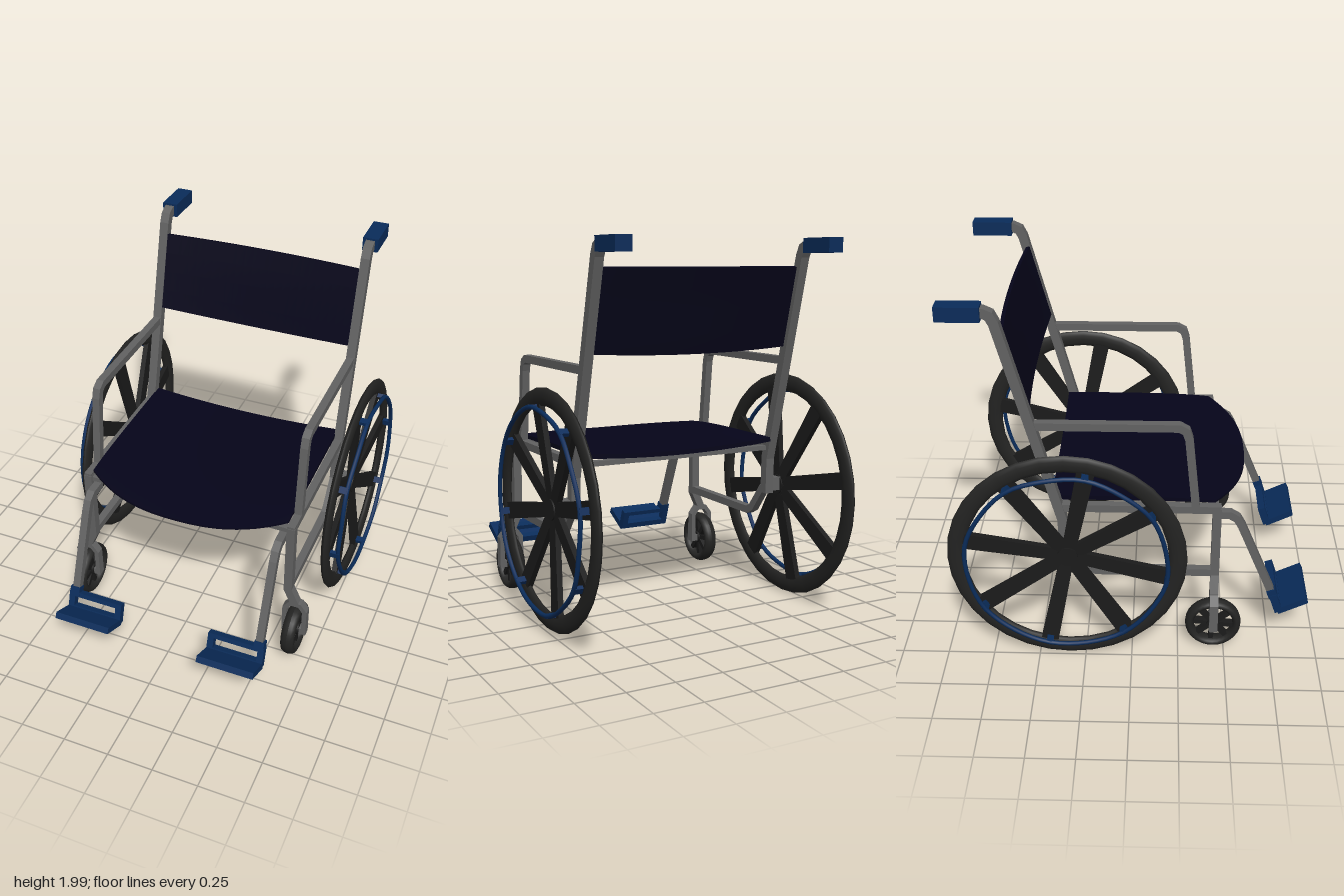
import * as THREE from 'three';

const mat = (name, color) => {
  const m = new THREE.MeshStandardMaterial({ color });
  m.name = name;
  return m;
};

// Square bar swept along a flat path with mitred corners; n is the normal of the path's plane
function bar(points, n, w, depth = w) {
  const P = points.map((p) => new THREE.Vector3(...p));
  const N = new THREE.Vector3(...n);
  const pos = [], index = [];
  P.forEach((p, i) => {
    const a = P[Math.max(i - 1, 0)], b = P[Math.min(i + 1, P.length - 1)];
    const d1 = p.clone().sub(a).normalize(), d2 = b.clone().sub(p).normalize();
    const t = d1.clone().add(d2).normalize();
    const cosHalf = t.dot(i ? d1 : d2);
    const m = t.cross(N).multiplyScalar(w / 2 / cosHalf);
    for (const [s, r] of [[1, 1], [-1, 1], [-1, -1], [1, -1]]) {
      pos.push(...p.clone().addScaledVector(N, (s * depth) / 2).addScaledVector(m, r).toArray());
    }
  });
  for (let k = 0; k < P.length - 1; k++) {
    for (let i = 0; i < 4; i++) {
      const a = k * 4 + i, b = k * 4 + (i + 1) % 4;
      index.push(a, b, b + 4, a, b + 4, a + 4);
    }
  }
  const e = (P.length - 1) * 4;
  index.push(0, 2, 1, 0, 3, 2, e, e + 1, e + 2, e, e + 2, e + 3);
  const g = new THREE.BufferGeometry();
  g.setAttribute('position', new THREE.Float32BufferAttribute(pos, 3));
  g.setIndex(index);
  const flat = g.toNonIndexed();
  flat.computeVertexNormals();
  return flat;
}

const box = (w, h, d, x, y, z) => new THREE.BoxGeometry(w, h, d).translate(x, y, z);

// Move every vertex by a rule
function warp(g, rule) {
  const p = g.attributes.position;
  for (let i = 0; i < p.count; i++) p.setXYZ(i, ...rule(p.getX(i), p.getY(i), p.getZ(i)));
  g.computeVertexNormals();
  return g;
}

// Copy a geometry to the other side, swapping two corners of each face to keep it outward
function mirrored(g) {
  const m = (g.index ? g.toNonIndexed() : g.clone()).scale(-1, 1, 1);
  for (const { array, itemSize: s, count } of Object.values(m.attributes)) {
    for (let i = 0; i < count; i += 3) {
      for (let c = 0; c < s; c++) {
        const b = (i + 1) * s + c, d = b + s;
        [array[b], array[d]] = [array[d], array[b]];
      }
    }
  }
  return m;
}

// Tyre of oval section around the x axis
function tyre(outer, inner, width, segments) {
  const mid = (outer + inner) / 2, half = (outer - inner) / 2, pts = [];
  for (let i = 0; i <= 12; i++) {
    const a = (i / 12) * Math.PI * 2;
    pts.push(new THREE.Vector2(mid + half * Math.cos(a), (width / 2) * Math.sin(a)));
  }
  return new THREE.LatheGeometry(pts, segments).rotateZ(Math.PI / 2);
}

export function createModel() {
  const model = new THREE.Group();
  model.name = 'wheelchair';
  const steel = mat('greySteel', 0x626262);
  const rubber = mat('blackRubber', 0x232322);
  const spokeBlack = mat('blackSpokes', 0x1b1b1b);
  const blue = mat('bluePlastic', 0x0a2c5a);
  const cloth = mat('navyCloth', 0x050419);

  const add = (name, g, m) => {
    const mesh = new THREE.Mesh(g, m);
    mesh.name = name;
    model.add(mesh);
  };
  const pair = (name, g, m) => {
    add(name + 'Left', g, m);
    add(name + 'Right', mirrored(g), m);
  };

  // Frame bars, given as [z, y] points at a fixed x
  const X = 0.592, W = 0.046;
  const side = (name, x, pts, w = W) =>
    pair(name, bar(pts.map(([z, y]) => [x, y, z]), [1, 0, 0], w), steel);
  side('backPost', X, [[-0.36, 0.6], [-0.365, 0.8], [-0.652, 1.91], [-0.672, 1.95], [-0.705, 1.965], [-0.76, 1.965]], 0.05);
  side('armrest', X, [[0.33, 0.87], [0.285, 1.29], [0.27, 1.335], [0.235, 1.355], [-0.5, 1.355]], 0.042);
  side('seatRail', X, [[0.46, 0.872], [-0.38, 0.872]], 0.042);
  side('lowerRail', X, [[0.44, 0.47], [-0.19, 0.47], [-0.23, 0.49], [-0.34, 0.63]], 0.042);
  side('footrestHanger', 0.545, [[0.42, 0.81], [0.51, 0.81], [0.55, 0.785], [0.575, 0.74], [0.762, 0.29]], 0.042);
  pair('axle', box(0.1, 0.075, 0.065, 0.64, 0.645, -0.337), steel);
  for (const [name, z] of [['frontCrossbar', 0.43], ['rearCrossbar', -0.36]]) {
    add(name, box(1.16, 0.026, 0.042, 0, 0.859, z), steel);
  }

  // Front posts bending out to the castor forks
  const Z = [0, 0, 1], zc = 0.44, xc = 0.637, yc = 0.16;
  pair('frontPost', bar([[X, 0.88, zc], [X, 0.45, zc], [xc, 0.35, zc]], Z, W), steel);
  pair('castorFork', bar([[0.58, yc - 0.02, zc], [0.58, 0.31, zc], [0.61, 0.35, zc], [0.664, 0.35, zc],
    [0.694, 0.31, zc], [0.694, yc - 0.02, zc]], Z, 0.026, W), steel);
  pair('castorAxle', box(0.14, 0.04, 0.045, xc, yc, zc), steel);

  // Castor wheels
  pair('castorTyre', tyre(0.152, 0.105, 0.078, 28).translate(xc, yc, zc), rubber);
  pair('castorHub', new THREE.CylinderGeometry(0.035, 0.035, 0.06, 16).rotateZ(Math.PI / 2).translate(xc, yc, zc), spokeBlack);
  for (let i = 0; i < 8; i++) {
    const g = box(0.035, 0.1, 0.026, 0, 0.07, 0).rotateX((i * Math.PI) / 4 + 0.1);
    pair('castorSpoke', g.translate(xc, yc, zc), spokeBlack);
  }

  // Large wheels with dished spokes, and a wavy hand rim held off by mounts
  const wy = 0.636, wz = -0.335, tilt = 0.2;
  pair('wheelTyre', tyre(0.625, 0.53, 0.042, 32).translate(0.726, wy, wz), rubber);
  pair('wheelHub', new THREE.CylinderGeometry(0.055, 0.055, 0.045, 16).rotateZ(Math.PI / 2).translate(0.694, wy, wz), spokeBlack);
  const rim = [];
  for (let i = 0; i < 16; i++) {
    const a = (i * Math.PI) / 8 + tilt, r = i % 2 ? 0.52 : 0.528;
    rim.push(new THREE.Vector3(i % 2 ? 0.788 : 0.784, wy + r * Math.cos(a), wz + r * Math.sin(a)));
  }
  pair('handRim', new THREE.TubeGeometry(new THREE.CatmullRomCurve3(rim, true), 64, 0.012, 8, true), blue);
  for (let i = 0; i < 8; i++) {
    const turn = (i * Math.PI) / 4 + tilt;
    const spoke = warp(box(0.03, 0.53, 0.09, 0, 0.285, 0), (x, y, z) =>
      [x + 0.69 + 0.036 * (y / 0.55), y, z * (0.8 + 0.4 * y)]);
    pair('wheelSpoke', spoke.rotateX(turn).translate(0, wy, wz), spokeBlack);
    pair('rimMount', box(0.06, 0.022, 0.036, 0.76, 0.528, 0).rotateX(turn).translate(0, wy, wz), blue);
  }

  // Sagging seat with a rounded front lip
  add('seat', warp(new THREE.BoxGeometry(1.14, 0.024, 1, 24, 1, 12), (x, y, z) => {
    const u = Math.abs(x) / 0.57, v = z + 0.5;
    const front = 0.43 + 0.18 * (1 - u ** 2.5);
    const thin = 1 - 0.5 * v ** 6;
    return [x, 0.912 - 0.026 * (1 - u * u) - 0.012 * v ** 5 + y * thin, -0.42 + v * (front + 0.42)];
  }), cloth);

  // Leaning backrest, bowed to the rear between the posts
  add('backrest', warp(new THREE.BoxGeometry(1.14, 0.42, 0.02, 24, 4, 1), (x, y, z) => {
    const bow = 1 - (x / 0.57) ** 2;
    return [x, 1.645 + y - bow * (y < 0 ? 0.018 : 0) + z * 0.25, -0.572 - y * 0.258 + z - 0.022 * bow];
  }), cloth);

  // Push handles
  pair('pushHandle', box(0.086, 0.076, 0.216, X, 1.963, -0.82), blue);

  // Footrests: an upright frame with an opening, and a tilted plate
  const corners = (pts) => pts.map((p) => new THREE.Vector2(...p));
  const frame = new THREE.Shape(corners([[0.26, 0], [0.58, 0], [0.58, 0.118], [0.26, 0.118]]));
  frame.holes.push(new THREE.Path(corners([[0.295, 0.035], [0.295, 0.092], [0.545, 0.092], [0.545, 0.035]])));
  const heel = new THREE.ExtrudeGeometry(frame, { depth: 0.042, bevelEnabled: false });
  pair('footrestFrame', heel.rotateX(-0.33).translate(0, 0.176, 0.782), blue);
  pair('footplate', new THREE.BoxGeometry(0.32, 0.036, 0.175).rotateX(-0.47).translate(0.42, 0.226, 0.873), blue);
  pair('footrestClamp', box(0.056, 0.05, 0.05, 0.548, 0, 0).rotateX(-0.36).translate(0, 0.3, 0.76), blue);

  return model;
}
